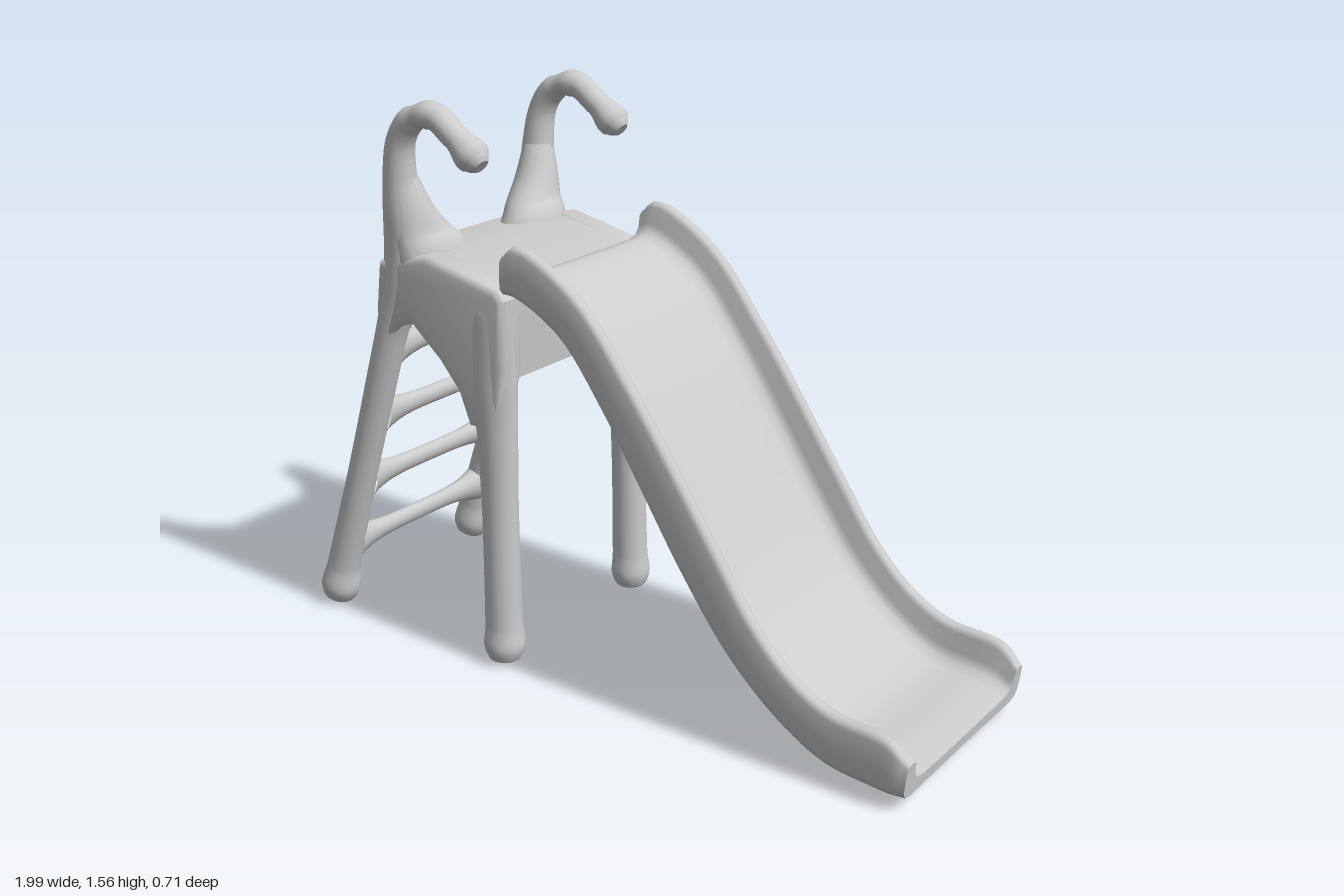
import * as THREE from 'three';
import { toCreasedNormals } from 'three/addons/utils/BufferGeometryUtils.js';

const plastic = new THREE.MeshStandardMaterial({ color: 0xcccccc });
plastic.name = 'light grey plastic';

function part(name, geometry) {
  const mesh = new THREE.Mesh(geometry, plastic);
  mesh.name = name;
  return mesh;
}

// Skin a list of equal closed rings; the flat outline [z, up] triangulates both caps.
function loft(rings, outline) {
  const n = outline.length, last = rings.length - 1;
  const pos = [], index = [];
  rings.forEach(r => r.forEach(p => pos.push(p.x, p.y, p.z)));
  for (let i = 0; i < last; i++) {
    for (let j = 0; j < n; j++) {
      const k = (j + 1) % n;
      const a = i * n + j, b = i * n + k, c = a + n, d = b + n;
      index.push(a, b, c, b, d, c);
    }
  }
  const flat = outline.map(([z, s]) => new THREE.Vector2(z, s));
  const tris = THREE.ShapeUtils.triangulateShape(flat.map(p => p.clone()), []);
  [0, last].forEach(i => {
    const base = pos.length / 3;
    rings[i].forEach(p => pos.push(p.x, p.y, p.z));
    tris.forEach(([a, b, c]) => {
      const ccw = THREE.ShapeUtils.area([flat[a], flat[b], flat[c]]) > 0;
      if (ccw === (i === 0)) index.push(base + a, base + b, base + c);
      else index.push(base + a, base + c, base + b);
    });
  });
  const g = new THREE.BufferGeometry();
  g.setAttribute('position', new THREE.Float32BufferAttribute(pos, 3));
  g.setIndex(index);
  g.computeVertexNormals();
  return g;
}

// Smooth limb through stations [x, y, z, radius in the xy plane, radius along z].
function limb(stations, side, steps = 56, sides = 16) {
  const centre = new THREE.CatmullRomCurve3(stations.map(s => new THREE.Vector3(s[0], s[1], s[2] * side)));
  const radius = new THREE.CatmullRomCurve3(stations.map(s => new THREE.Vector3(s[3], s[4], 0)));
  const outline = [];
  for (let j = 0; j < sides; j++) {
    const a = j / sides * Math.PI * 2;
    outline.push([Math.sin(a), Math.cos(a)]);
  }
  const rings = [];
  for (let i = 0; i <= steps; i++) {
    const p = centre.getPoint(i / steps), r = radius.getPoint(i / steps);
    const t = centre.getTangent(i / steps).setZ(0).normalize();
    rings.push(outline.map(([z, s]) => new THREE.Vector3(p.x - t.y * s * r.x, p.y + t.x * s * r.x, p.z + z * r.y)));
  }
  return loft(rings, outline);
}

// Bevelled side profile extruded across z, centred on the given z.
function panel(points, width, z, bevel) {
  const shape = new THREE.Shape(points.map(([x, y]) => new THREE.Vector2(x, y)));
  const g = new THREE.ExtrudeGeometry(shape, {
    depth: width - 2 * bevel, bevelEnabled: true, bevelThickness: bevel,
    bevelSize: bevel, bevelOffset: -bevel, bevelSegments: 3
  });
  g.translate(0, 0, z - width / 2 + bevel);
  return toCreasedNormals(g, 0.7);
}

// Slide: a channel section swept between its lower and upper side edges.
function slideGeometry() {
  // lower x, y, upper x, y
  const edges = [
    [-0.24, 1.08, -0.235, 1.19], [-0.2, 1.075, -0.19, 1.222], [-0.06, 1.0, 0, 1.125],
    [0.07, 0.84, 0.17, 0.925], [0.2, 0.64, 0.31, 0.73], [0.33, 0.44, 0.44, 0.54],
    [0.47, 0.26, 0.56, 0.37], [0.62, 0.13, 0.67, 0.265], [0.76, 0.055, 0.78, 0.21],
    [0.9, 0.037, 0.94, 0.19], [0.985, 0.036, 0.998, 0.14]
  ];
  const low = new THREE.CatmullRomCurve3(edges.map(e => new THREE.Vector3(e[0], e[1], 0)));
  const high = new THREE.CatmullRomCurve3(edges.map(e => new THREE.Vector3(e[2], e[3], 0)));
  const half = [
    [0.13, 0.33], [0.23, 0.35], [0.262, 0.42], [0.275, 0.58], [0.28, 0.9], [0.29, 0.98], [0.302, 1],
    [0.315, 0.97], [0.323, 0.88], [0.324, 0.5], [0.32, 0.2], [0.308, 0.06], [0.28, 0], [0.14, 0.02]
  ];
  const outline = [[0, 0.33], ...half, [0, 0.03], ...half.map(([z, s]) => [-z, s]).reverse()];
  const rings = [];
  for (let i = 0; i <= 60; i++) {
    const a = low.getPoint(i / 60), b = high.getPoint(i / 60);
    const taper = i > 57 ? 1 - (i - 57) * 0.008 : 1;
    rings.push(outline.map(([z, s]) => {
      const p = a.clone().lerp(b, s);
      p.z = z * taper;
      return p;
    }));
  }
  return loft(rings, outline);
}

export function createModel() {
  const model = new THREE.Group();
  model.name = 'playgroundSlide';
  model.add(part('slide', slideGeometry()));

  // Platform with its deep front apron
  model.add(part('platform', panel([
    [-0.665, 1.13], [-0.67, 1.0], [-0.57, 0.97], [-0.42, 0.86], [-0.3, 0.82],
    [-0.245, 0.84], [-0.228, 1.07], [-0.25, 1.098], [-0.5, 1.145]
  ], 0.6, 0, 0.015)));

  for (const side of [1, -1]) {
    const label = side > 0 ? 'Front' : 'Back';

    // Ladder leg that runs on into the hooked handle
    model.add(part('ladderLegAndHandle' + label, limb([
      [-0.945, 0.012, 0.295, 0.015, 0.015], [-0.941, 0.022, 0.295, 0.048, 0.047],
      [-0.93, 0.06, 0.295, 0.059, 0.058], [-0.912, 0.13, 0.294, 0.049, 0.049],
      [-0.79, 0.51, 0.293, 0.042, 0.044], [-0.67, 0.89, 0.289, 0.044, 0.046],
      [-0.62, 1.05, 0.283, 0.06, 0.05], [-0.606, 1.2, 0.28, 0.062, 0.053],
      [-0.609, 1.34, 0.287, 0.047, 0.045], [-0.592, 1.445, 0.293, 0.04, 0.039],
      [-0.545, 1.505, 0.295, 0.037, 0.038], [-0.47, 1.522, 0.295, 0.037, 0.038],
      [-0.4, 1.478, 0.295, 0.036, 0.037], [-0.325, 1.42, 0.295, 0.036, 0.037],
      [-0.311, 1.409, 0.295, 0.022, 0.022]
    ], side, 84)));

    // Flared foot of the handle, blending into the platform
    model.add(part('handleFlare' + label, limb([
      [-0.575, 1.06, 0.2, 0.09, 0.13], [-0.575, 1.13, 0.212, 0.085, 0.118],
      [-0.588, 1.18, 0.232, 0.07, 0.098], [-0.598, 1.25, 0.262, 0.06, 0.068],
      [-0.606, 1.34, 0.283, 0.042, 0.045]
    ], side, 24)));

    // Straight leg under the slide end
    model.add(part('frontLeg' + label, limb([
      [-0.283, 0.002, 0.293, 0.015, 0.015], [-0.283, 0.018, 0.293, 0.046, 0.046],
      [-0.283, 0.06, 0.293, 0.059, 0.058], [-0.284, 0.12, 0.292, 0.054, 0.052],
      [-0.287, 0.42, 0.29, 0.052, 0.048], [-0.291, 0.68, 0.288, 0.061, 0.048],
      [-0.302, 0.86, 0.286, 0.076, 0.048], [-0.302, 1.02, 0.286, 0.076, 0.046],
      [-0.295, 1.085, 0.286, 0.05, 0.03]
    ], side)));

    // Side web joining both legs under the platform edge
    model.add(part('sideWeb' + label, panel([
      [-0.67, 1.11], [-0.69, 0.96], [-0.64, 0.89], [-0.61, 0.93], [-0.56, 0.95], [-0.46, 0.865],
      [-0.395, 0.79], [-0.36, 0.7], [-0.26, 0.7], [-0.23, 0.88], [-0.226, 1.07], [-0.25, 1.098], [-0.5, 1.15]
    ], 0.085, side * 0.287, 0.02)));
  }

  // Ladder rungs, flared where they meet the legs
  const rungProfile = [];
  for (let i = -8; i <= 8; i++) {
    const t = Math.abs(i) / 8;
    rungProfile.push(new THREE.Vector2(0.03 + 0.035 * t ** 4, i / 8 * 0.275));
  }
  const rung = new THREE.LatheGeometry(rungProfile, 14);
  rung.rotateX(Math.PI / 2);
  rung.scale(0.75, 1, 1);
  rung.rotateZ(-0.31);
  for (let i = 0; i < 4; i++) {
    const y = 0.2 + i * 0.215;
    const mesh = part('rung' + (i + 1), rung);
    mesh.position.set(-0.89 + (y - 0.2) * 0.315, y, 0);
    model.add(mesh);
  }
  return model;
}
